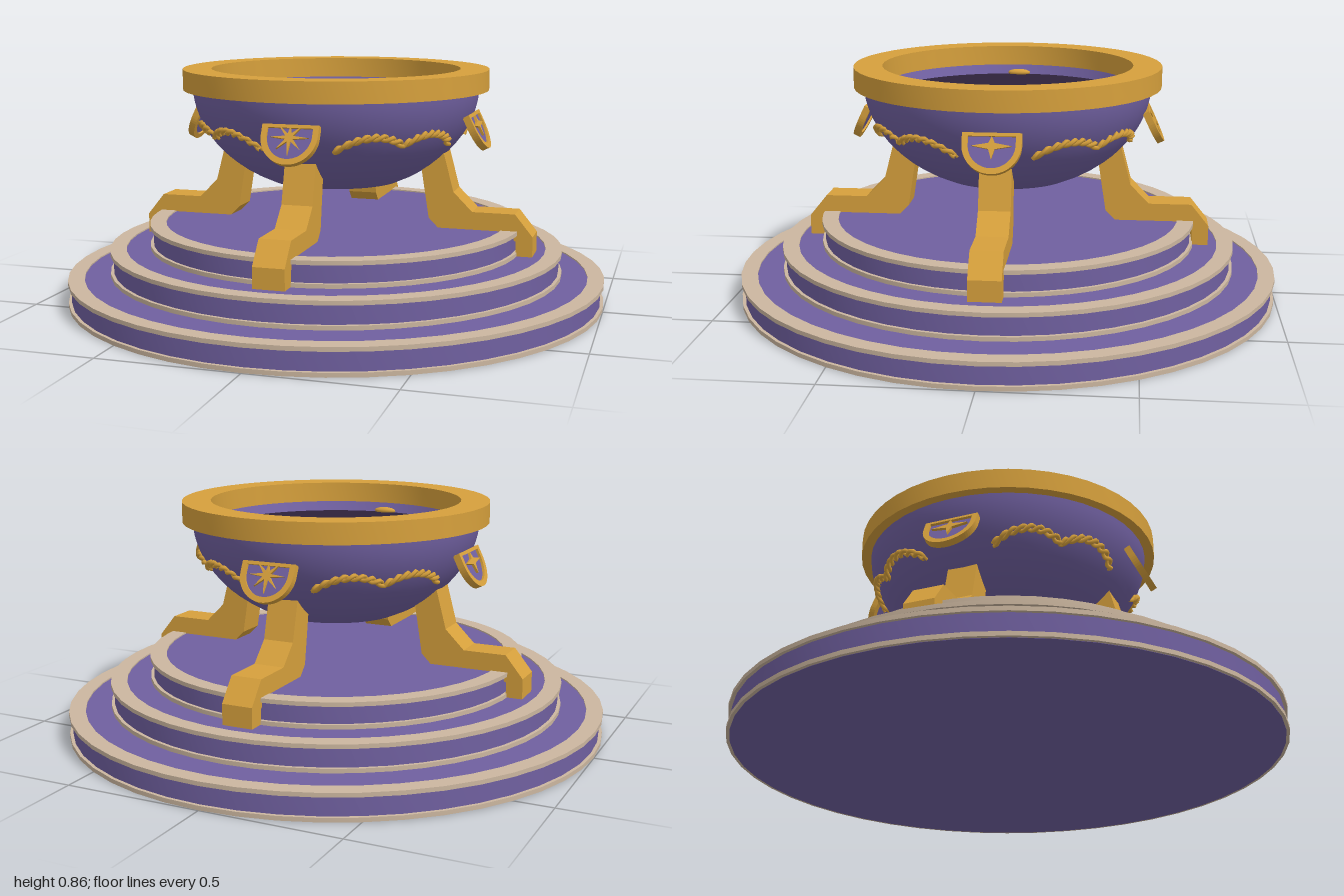
import * as THREE from 'three';
import { toCreasedNormals } from 'three/addons/utils/BufferGeometryUtils.js';

const paint = (name, color, side = THREE.FrontSide) => {
  const m = new THREE.MeshStandardMaterial({ color, side });
  m.name = name;
  return m;
};

export function createModel() {
  const root = new THREE.Group();
  root.name = 'ceremonialBasin';
  const purple = paint('purple', 0x7060a0);
  const gold = paint('gold', 0xd6a03c);
  const stone = paint('paleStone', 0xcbb69f);
  const dark = paint('darkWater', 0x2d223a);

  const add = (parent, name, geometry, material) => {
    const mesh = new THREE.Mesh(geometry, material);
    mesh.name = name;
    parent.add(mesh);
    return mesh;
  };
  const lathe = (pts, seg = 48) => toCreasedNormals(
    new THREE.LatheGeometry(pts.map(([r, y]) => new THREE.Vector2(r, y)), seg), 0.5);
  // square-section ring
  const ring = (r0, r1, y0, y1) => lathe([[r0, y0], [r1, y0], [r1, y1], [r0, y1], [r0, y0]]);
  const shapeOf = (pts) => new THREE.Shape(pts.map(([x, y]) => new THREE.Vector2(x, y)));
  const extrude = (shape, depth) => new THREE.ExtrudeGeometry(shape,
    { depth, bevelEnabled: false, curveSegments: 16 });

  // Three round steps with pale edging
  [[1, 0], [0.845, 0.1], [0.697, 0.195]].forEach(([r, y], i) => {
    const step = new THREE.Group();
    step.name = 'step' + (i + 1);
    const h = i === 2 ? 0.093 : 0.097;
    add(step, 'stepBody', lathe([[0, y], [r - 0.012, y], [r - 0.012, y + h - 0.005], [0, y + h - 0.005]]), purple);
    add(step, 'topEdging', ring(r - 0.06, r, y + h - 0.015, y + h), stone);
    add(step, 'bottomEdging', ring(r - 0.06, r, y + 0.001, y + 0.016), stone);
    root.add(step);
  });

  // Bowl: lower part of an ellipsoid with a flat base
  const bowlRadius = (y) => 0.53 * Math.sqrt(1 - ((0.8 - y) / 0.404) ** 2);
  const profile = [[0, 0.44]];
  for (let i = 0; i <= 14; i++) {
    const y = 0.44 + (i / 14) * 0.345;
    profile.push([bowlRadius(y), y]);
  }
  add(root, 'bowl', lathe(profile), purple);
  add(root, 'bowlInnerWall', lathe([[0.485, 0.785], [0.462, 0.735]]), purple);
  add(root, 'rim', ring(0.46, 0.565, 0.78, 0.855), gold);
  const water = add(root, 'water', new THREE.CircleGeometry(0.464, 48), dark);
  water.rotation.x = -Math.PI / 2;
  water.position.y = 0.742;

  // Leg outline: x is the distance from the centre
  const legGeometry = extrude(shapeOf([
    [0.75, 0.197], [0.75, 0.27], [0.685, 0.35], [0.53, 0.35], [0.46, 0.42], [0.42, 0.57],
    [0.33, 0.57], [0.37, 0.32], [0.405, 0.285], [0.64, 0.285], [0.69, 0.25], [0.69, 0.197],
  ]), 0.112);
  legGeometry.translate(0, 0, -0.056);
  legGeometry.rotateY(-Math.PI / 2);

  // Shield outline: flat top, round bottom, origin at the middle of the top
  const shield = (w, top, Type) => {
    const s = new Type();
    s.moveTo(-w, top);
    s.lineTo(-w, -0.04);
    s.absarc(0, -0.04, w, Math.PI, Math.PI * 2, false);
    s.lineTo(w, top);
    s.closePath();
    return s;
  };
  const frameShape = shield(0.1, 0, THREE.Shape);
  frameShape.holes.push(shield(0.08, -0.012, THREE.Path));
  const frameGeometry = extrude(frameShape, 0.025);
  const panelGeometry = extrude(shield(0.082, -0.01, THREE.Shape), 0.009);
  const star = (lengths) => {
    const n = lengths.length, pts = [];
    lengths.forEach((len, i) => {
      const a = (i / n) * Math.PI * 2, b = a + Math.PI / n;
      pts.push([len * Math.cos(a), len * Math.sin(a)], [0.015 * Math.cos(b), 0.015 * Math.sin(b)]);
    });
    return extrude(shapeOf(pts), 0.01);
  };
  const eightPoint = star([0.068, 0.058, 0.04, 0.058, 0.068, 0.058, 0.062, 0.058]);
  const fourPoint = star([0.068, 0.034, 0.068, 0.045]);

  // Twisted rope festoon between two medallions
  const strand = (phase) => {
    const pts = [];
    for (let i = 0; i <= 72; i++) {
      const t = i / 72, a = THREE.MathUtils.degToRad(16 + 58 * t);
      const twist = t * Math.PI * 16 + phase;
      const y = 0.605 + 0.04 * Math.pow(Math.abs(Math.sin(t * Math.PI * 2)), 0.8)
        + 0.018 * Math.sin(t * Math.PI) + 0.008 * Math.sin(twist);
      const r = bowlRadius(y) + 0.004 + 0.008 * Math.cos(twist);
      pts.push(new THREE.Vector3(r * Math.sin(a), y, r * Math.cos(a)));
    }
    return new THREE.TubeGeometry(new THREE.CatmullRomCurve3(pts), 110, 0.008, 5);
  };
  const strands = [strand(0), strand(Math.PI)];

  // One leg, medallion, stud and festoon per quarter
  ['front', 'left', 'back', 'right'].forEach((side, i) => {
    const quarter = new THREE.Group();
    quarter.name = side + 'Quarter';
    quarter.rotation.y = i * Math.PI / 2;
    add(quarter, side + 'Leg', legGeometry, gold);

    const medallion = new THREE.Group();
    medallion.name = side + 'Medallion';
    medallion.position.set(0, 0.695, 0.497);
    medallion.rotation.x = -0.45;
    add(medallion, 'medallionFrame', frameGeometry, gold);
    add(medallion, 'medallionPanel', panelGeometry, purple).position.z = 0.007;
    add(medallion, 'medallionStar', i % 2 ? fourPoint : eightPoint, gold).position.set(0, -0.045, 0.015);
    quarter.add(medallion);

    const stud = add(quarter, 'innerStud', new THREE.SphereGeometry(1, 16, 8), gold);
    stud.scale.set(0.045, 0.014, 0.018);
    stud.position.set(0, 0.748, 0.46);

    strands.forEach((g) => add(quarter, 'ropeFestoon', g, gold));
    root.add(quarter);
  });
  return root;
}
